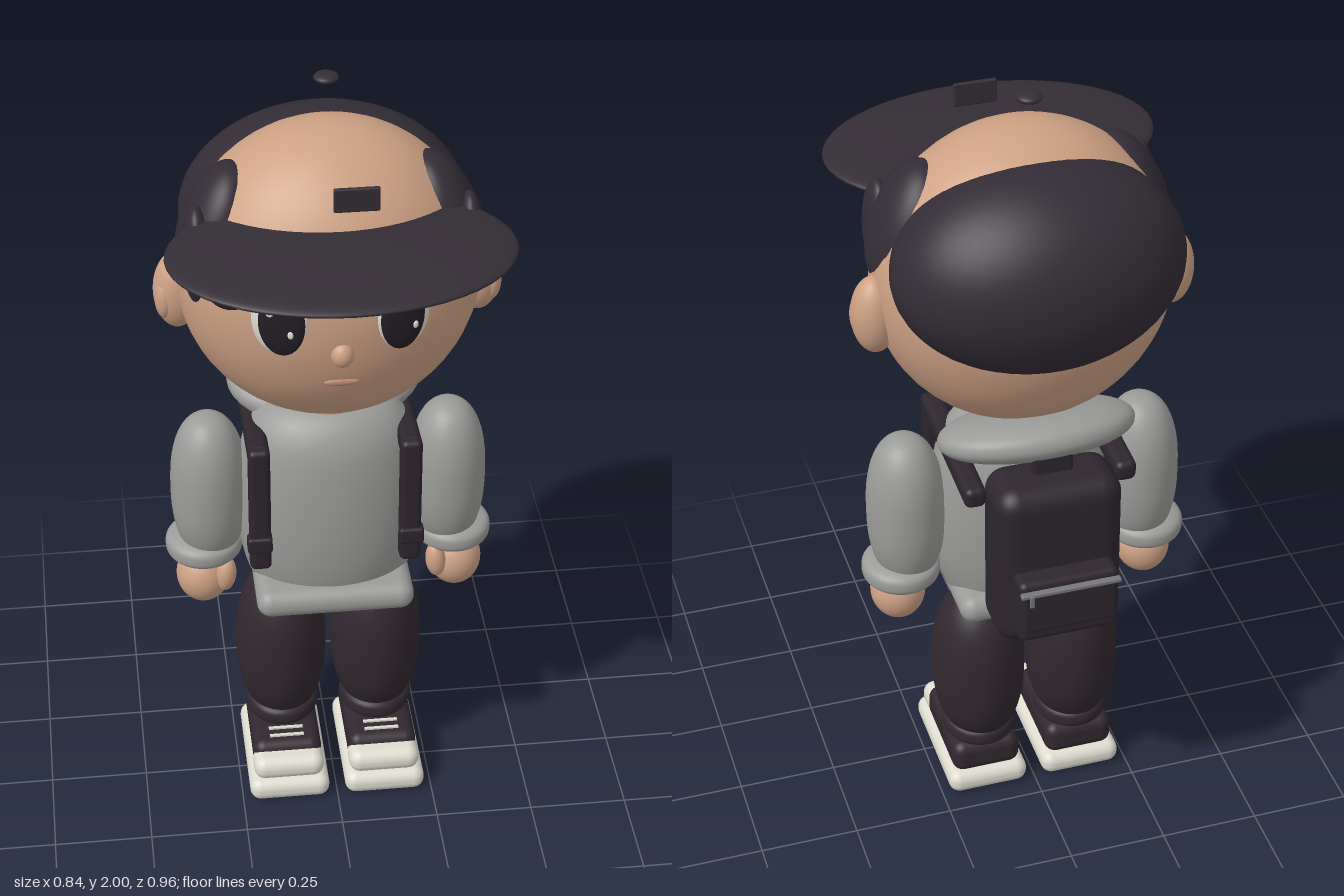
import * as THREE from 'three';
import { RoundedBoxGeometry } from 'three/addons/geometries/RoundedBoxGeometry.js';

const flat = (name, color) => {
  const m = new THREE.MeshStandardMaterial({ color });
  m.name = name;
  return m;
};

export function createModel() {
  const root = new THREE.Group();
  root.name = 'boyWithBackpack';

  const skin = flat('skin', 0xcda184);
  const lip = flat('lip', 0xb98a70);
  const hair = flat('hair', 0x332c35);
  const cap = flat('capCloth', 0x342d35);
  const grey = flat('greyCloth', 0x9b9b99);
  const trousers = flat('trouserCloth', 0x31282f);
  const pack = flat('packCloth', 0x2d262d);
  const white = flat('offWhite', 0xdedcd0);
  const eyeDark = flat('eyeDark', 0x231d24);
  const metal = flat('zipMetal', 0x77777a);

  function add(name, geometry, material, pos, rot = [0, 0, 0], parent = root) {
    const mesh = new THREE.Mesh(geometry, material);
    mesh.name = name;
    mesh.position.set(...pos);
    mesh.rotation.set(...rot);
    parent.add(mesh);
    return mesh;
  }

  // Rounded blob: n = 2 is an ellipsoid, larger n has a boxier profile
  function blob(name, material, pos, [rx, ry, rz], n = 2, rot, parent) {
    let geometry;
    if (n === 2) geometry = new THREE.SphereGeometry(1, 48, 32);
    else {
      const pts = [];
      for (let i = 0; i <= 32; i++) {
        const a = -Math.PI / 2 + (i / 32) * Math.PI;
        const c = Math.max(Math.cos(a), 0), s = Math.sin(a);
        pts.push(new THREE.Vector2(c < 1e-6 ? 0 : c ** (2 / n), Math.sign(s) * Math.abs(s) ** (2 / n)));
      }
      geometry = new THREE.LatheGeometry(pts, 40);
    }
    geometry.scale(rx, ry, rz);
    return add(name, geometry, material, pos, rot, parent);
  }

  const box = (name, material, pos, [w, h, d], r, rot, parent) =>
    add(name, new RoundedBoxGeometry(w, h, d, 4, r), material, pos, rot, parent);

  // Head and face
  blob('head', skin, [0, 1.512, -0.07], [0.368, 0.38, 0.3]);
  blob('nose', skin, [0, 1.443, 0.219], [0.028, 0.033, 0.028]);
  blob('mouth', lip, [0, 1.355, 0.203], [0.042, 0.01, 0.007]);
  add('neck', new THREE.CylinderGeometry(0.09, 0.095, 0.16, 32), skin, [0, 1.14, -0.075]);

  // Hair: back mass and fringe
  blob('backHair', hair, [0, 1.602, -0.195], [0.35, 0.257, 0.259]);
  blob('fringe', hair, [0.06, 1.675, 0.175], [0.07, 0.055, 0.045]);
  blob('fringe', hair, [-0.16, 1.67, 0.16], [0.075, 0.06, 0.045]);

  for (const s of [-1, 1]) {
    const side = s > 0 ? 'left' : 'right';

    // Side hair
    blob(side + 'Temple', hair, [s * 0.275, 1.66, -0.04], [0.08, 0.165, 0.12], 2, [0, 0, s * 0.35]);
    blob(side + 'Sidelock', hair, [s * 0.32, 1.62, 0.03], [0.037, 0.128, 0.068]);
    blob(side + 'FringeLock', hair, [s * 0.255, 1.63, 0.14], [0.075, 0.09, 0.055], 2, [0, s * 0.6, 0]);

    // Ear with lobe
    blob(side + 'Ear', skin, [s * 0.365, 1.46, -0.085], [0.057, 0.1, 0.058]);
    blob(side + 'EarFold', skin, [s * 0.395, 1.45, -0.065], [0.025, 0.055, 0.032]);

    // Eye, with highlights that fall on the same side of both eyes
    const eye = new THREE.Group();
    eye.name = side + 'Eye';
    eye.position.set(s * 0.145, 1.53, 0.2);
    eye.rotation.y = s * 0.34;
    root.add(eye);
    blob('eyeWhite', white, [0, 0, -0.005], [0.068, 0.092, 0.024], 2, [0, 0, 0], eye);
    blob('iris', eyeDark, [-s * 0.009, 0.004, 0.013], [0.056, 0.085, 0.019], 2, [0, 0, 0], eye);
    blob('bigHighlight', white, [-s * 0.009 - 0.022, 0.045, 0.027], [0.015, 0.02, 0.004], 2, [0, 0, 0], eye);
    blob('smallHighlight', white, [-s * 0.009 + 0.025, -0.014, 0.03], [0.007, 0.01, 0.004], 2, [0, 0, 0], eye);

    // Arm
    blob(side + 'Sleeve', grey, [s * 0.303, 0.88, -0.08], [0.097, 0.212, 0.105], 2.4);
    blob(side + 'SleeveCuff', grey, [s * 0.32, 0.706, -0.082], [0.098, 0.037, 0.102], 3);
    blob(side + 'Hand', skin, [s * 0.325, 0.62, -0.063], [0.069, 0.078, 0.072]);
    blob(side + 'Thumb', skin, [s * 0.27, 0.645, -0.015], [0.026, 0.05, 0.028], 2, [0, 0, s * 0.1]);

    // Leg and turn-up
    blob(side + 'TrouserLeg', trousers, [s * 0.125, 0.365, -0.092], [0.118, 0.23, 0.131], 2.4);
    blob(side + 'TrouserCuff', trousers, [s * 0.125, 0.166, -0.088], [0.095, 0.036, 0.105], 3);

    // Shoe
    box(side + 'Sole', white, [s * 0.126, 0.033, -0.024], [0.21, 0.064, 0.355], 0.029);
    box(side + 'ShoeUpper', trousers, [s * 0.126, 0.1, -0.045], [0.18, 0.09, 0.275], 0.03);
    box(side + 'ToeCap', white, [s * 0.126, 0.092, 0.095], [0.185, 0.065, 0.09], 0.03);
    for (const z of [0.025, 0.055])
      add(side + 'Lace', new THREE.BoxGeometry(0.09, 0.006, 0.008), white, [s * 0.126, 0.147, z]);

    // Shoulder strap
    box(side + 'FrontStrap', pack, [s * 0.188, 0.91, 0.072], [0.054, 0.36, 0.05], 0.015);
    box(side + 'ShoulderStrap', pack, [s * 0.188, 1.053, -0.115], [0.054, 0.055, 0.4], 0.018, [-0.06, 0, 0]);
    box(side + 'StrapBuckle', pack, [s * 0.19, 0.81, 0.086], [0.062, 0.045, 0.038], 0.008);
  }

  // Cap brim, button and front patch
  blob('capBrim', cap, [0, 1.71, 0.202], [0.405, 0.032, 0.278]);
  blob('capButton', cap, [0, 1.988, -0.117], [0.03, 0.012, 0.03]);
  box('capPatch', cap, [0.034, 1.842, 0.2], [0.106, 0.06, 0.012], 0.004);

  // Hooded top
  const torsoProfile = [[0, 0.508], [0.07, 0.518], [0.14, 0.55], [0.195, 0.61], [0.222, 0.69],
    [0.234, 0.79], [0.233, 0.9], [0.222, 1.0], [0.2, 1.07], [0.155, 1.12], [0.085, 1.145], [0, 1.15]];
  const torsoCurve = new THREE.SplineCurve(torsoProfile.map(p => new THREE.Vector2(...p)));
  const torso = new THREE.LatheGeometry(torsoCurve.getPoints(40).map(p => p.setX(Math.max(p.x, 0))), 48);
  torso.scale(1, 1, 0.73);
  add('torso', torso, grey, [0, 0, -0.07]);
  box('hem', grey, [0, 0.62, -0.055], [0.4, 0.075, 0.35], 0.036);
  blob('hood', grey, [0, 1.125, -0.185], [0.245, 0.06, 0.158], 2.3, [0.32, 0, 0]);

  // Backpack with pocket, zip and carry handle
  box('backpack', pack, [0, 0.865, -0.317], [0.315, 0.45, 0.175], 0.055);
  box('pocket', pack, [0, 0.785, -0.42], [0.25, 0.175, 0.075], 0.018);
  box('pocketFlap', pack, [0, 0.79, -0.45], [0.235, 0.12, 0.03], 0.01);
  box('pocketZip', metal, [0, 0.85, -0.466], [0.25, 0.012, 0.018], 0.004);
  box('zipPull', metal, [0.1, 0.838, -0.476], [0.012, 0.035, 0.008], 0.003);
  add('carryHandle', new THREE.TorusGeometry(0.04, 0.012, 12, 24, Math.PI), pack, [0, 1.145, -0.31]);
  box('handleBase', pack, [0, 1.11, -0.31], [0.1, 0.08, 0.025], 0.01);

  return root;
}
